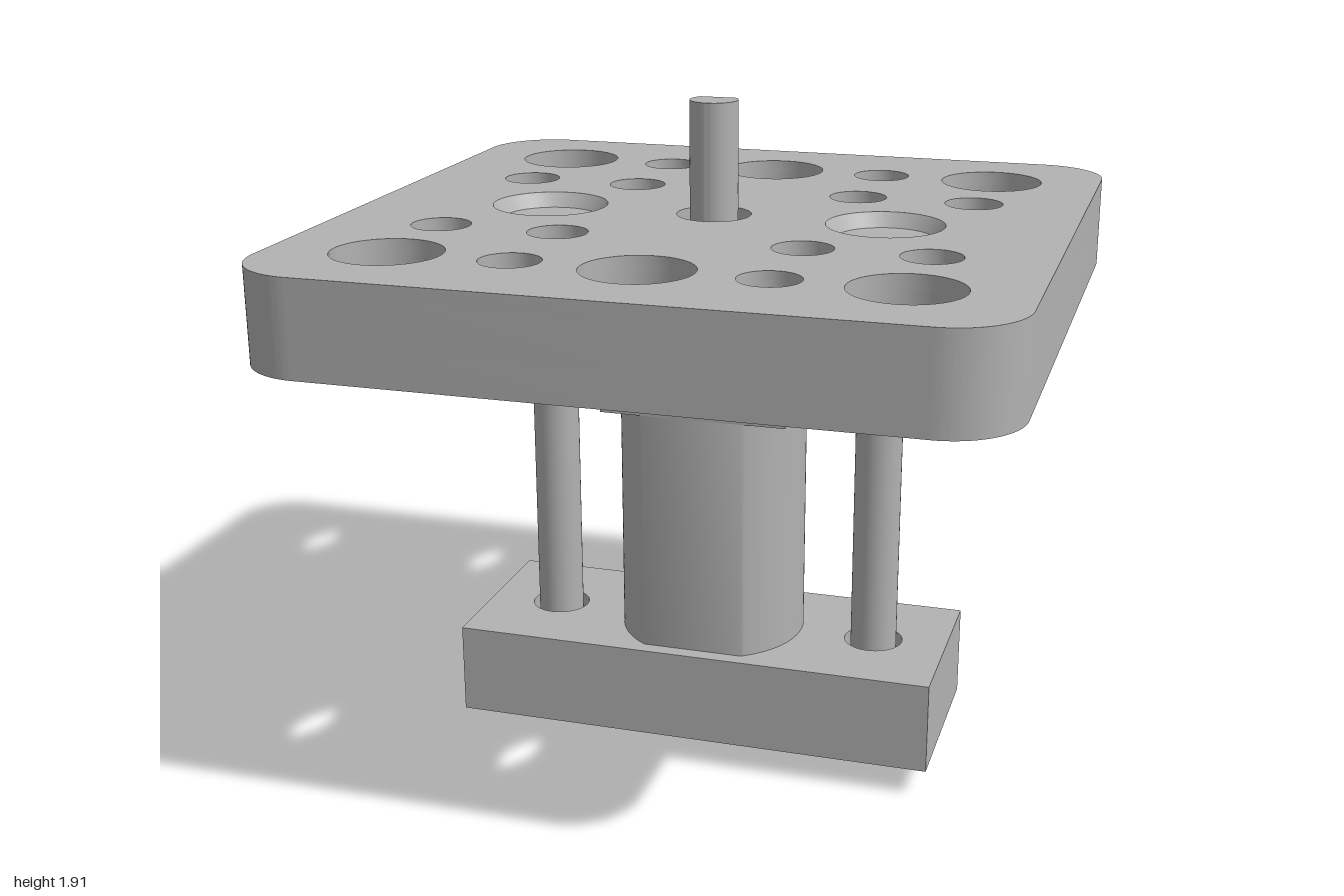
import * as THREE from 'three';
import { toCreasedNormals } from 'three/addons/utils/BufferGeometryUtils.js';

const gray = new THREE.MeshStandardMaterial({ color: 0xb2b2b2 });

export function createModel() {
  const model = new THREE.Group();
  const add = (name, geo, x = 0, y = 0, z = 0) => {
    const mesh = new THREE.Mesh(geo, gray);
    mesh.name = name;
    mesh.position.set(x, y, z);
    model.add(mesh);
    return mesh;
  };
  const rod = (name, r, y0, y1, x = 0, z = 0) =>
    add(name, new THREE.CylinderGeometry(r, r, y1 - y0, 40), x, (y0 + y1) / 2, z);
  const box = (name, w, d, y0, y1) =>
    add(name, new THREE.BoxGeometry(w, y1 - y0, d), 0, (y0 + y1) / 2, 0);

  // Outlines are drawn in x and -z, then raised along y
  const circle = (x, z, r) => new THREE.Path().absarc(x, -z, r, 0, Math.PI * 2, true);
  const polygon = (points, Type = THREE.Path) =>
    new Type(points.map(([x, z]) => new THREE.Vector2(x, -z)));
  const hexagon = (x, z, r) => polygon([0, 1, 2, 3, 4, 5].map((i) => {
    const a = i * Math.PI / 3;
    return [x + r * Math.cos(a), z + r * Math.sin(a)];
  }));
  const rect = (w, d, Type) => polygon([[-w, -d], [-w, d], [w, d], [w, -d]], Type);
  const slab = (name, shape, holes, y0, y1) => {
    shape.holes = holes;
    const geo = new THREE.ExtrudeGeometry(shape, { depth: y1 - y0, bevelEnabled: false, curveSegments: 24 });
    geo.rotateX(-Math.PI / 2);
    return add(name, toCreasedNormals(geo, 0.6), 0, y0, 0);
  };
  const roundedSquare = (s, r) => {
    const c = s - r;
    const shape = new THREE.Shape();
    shape.absarc(c, c, r, 0, Math.PI / 2);
    shape.absarc(-c, c, r, Math.PI / 2, Math.PI);
    shape.absarc(-c, -c, r, Math.PI, Math.PI * 1.5);
    shape.absarc(c, -c, r, Math.PI * 1.5, Math.PI * 2);
    return shape;
  };

  // Top plate: nut pockets below, plain core, countersinks above
  const plateHoles = (backHole) => {
    const holes = [circle(0, 0, 0.105)];
    for (const sz of [-1, 1]) {
      for (const x of [-0.68, 0, 0.68]) holes.push(circle(x, sz * 0.68, 0.15));
      for (const sx of [-1, 1]) {
        holes.push(circle(sx * 0.34, sz * 0.34, 0.083), circle(sx * 0.68, sz * 0.34, 0.083));
        holes.push(sz < 0 ? backHole(sx * 0.34, -0.68) : circle(sx * 0.34, 0.68, 0.083));
      }
    }
    return holes;
  };
  const smallHole = (x, z) => circle(x, z, 0.083);
  slab('plateNutLayer', roundedSquare(1, 0.2), plateHoles((x, z) => hexagon(x, z, 0.14)), 1.325, 1.425);
  slab('plateCore', roundedSquare(1, 0.2), plateHoles(smallHole), 1.425, 1.55);
  slab('plateTopLayer', roundedSquare(1, 0.2),
    [...plateHoles(smallHole), circle(-0.49, 0, 0.165), circle(0.49, 0, 0.165)], 1.55, 1.59);

  // Base block with hexagonal recesses and a square opening
  const ends = [-0.49, 0.49];
  slab('baseLower', rect(0.705, 0.272, THREE.Shape),
    [rect(0.15, 0.17), ...ends.map((x) => hexagon(x, 0, 0.14))], 0.08, 0.13);
  slab('baseUpper', rect(0.705, 0.272, THREE.Shape),
    [rect(0.15, 0.17), ...ends.map((x) => circle(x, 0, 0.085))], 0.13, 0.345);

  // Guide rods and their countersunk seats
  for (const x of ends) {
    rod('guideRod', 0.067, 0, 1.33, x);
    add('countersink', new THREE.LatheGeometry(
      [new THREE.Vector2(0.165, 1.59), new THREE.Vector2(0.137, 1.55)], 48), x);
  }

  // Motor can: round with flat front and back
  const a = Math.acos(0.227 / 0.27);
  const can = new THREE.Shape();
  can.absarc(0, 0, 0.27, -Math.PI / 2 + a, Math.PI / 2 - a);
  can.absarc(0, 0, 0.27, Math.PI / 2 + a, Math.PI * 1.5 - a);
  slab('motorCan', can, [], 0.345, 1.05);

  // Gearbox between two flanges
  box('lowerFlange', 0.54, 0.454, 1.05, 1.105);
  box('upperFlange', 0.54, 0.454, 1.232, 1.29);
  rod('gearHousing', 0.17, 1.105, 1.232);
  rod('gearHousingTop', 0.17, 1.29, 1.325);
  rod('spacer', 0.06, 1.1, 1.325, -0.16, 0.1);
  rod('spacer', 0.06, 1.1, 1.325, 0.16, -0.1);
  rod('shaftCollar', 0.09, 1.325, 1.37);

  // Output shaft with a flat at the back, and the rear pin
  const shaft = new THREE.Shape();
  const f = Math.asin(0.045 / 0.068);
  shaft.absarc(0, 0, 0.068, Math.PI - f, Math.PI * 2 + f);
  slab('outputShaft', shaft, [], 1.33, 1.91);
  rod('rearPin', 0.022, 0.07, 0.35);

  return model;
}
